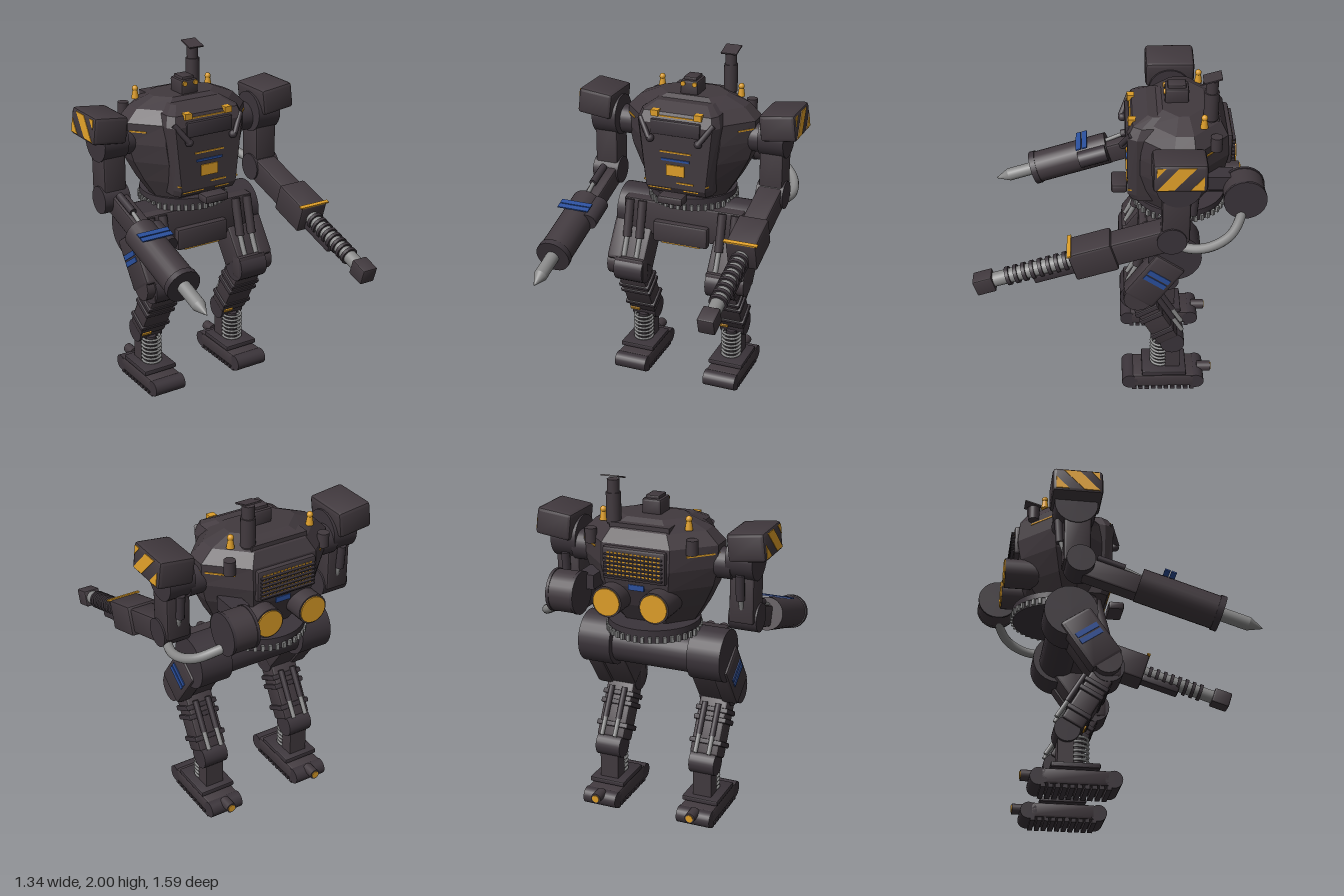
import * as THREE from 'three';
import { toCreasedNormals } from 'three/addons/utils/BufferGeometryUtils.js';
import { RoundedBoxGeometry } from 'three/addons/geometries/RoundedBoxGeometry.js';

const color = (name, hex) => {
  const m = new THREE.MeshStandardMaterial({ color: hex });
  m.name = name;
  return m;
};
const armor = color('dark armour', 0x41393e);
const joint = color('darker joints', 0x3b343a);
const steel = color('grey steel', 0x888888);
const amber = color('amber paint', 0xdc9d28);
const blue = color('blue paint', 0x2a4f9c);

function add(parent, name, geo, mat, x = 0, y = 0, z = 0, rx = 0, ry = 0, rz = 0) {
  const m = new THREE.Mesh(geo, mat);
  m.name = name;
  m.position.set(x, y, z);
  m.rotation.set(rx, ry, rz);
  parent.add(m);
  return m;
}
const box = (w, h, d) => new THREE.BoxGeometry(w, h, d);
const soft = (w, h, d, r = 0.013) => toCreasedNormals(new RoundedBoxGeometry(w, h, d, 1, r), 0.5);
const cyl = (r, h, r2 = r, n = 24) => new THREE.CylinderGeometry(r2, r, h, n);
const cylX = (r, h) => cyl(r, h).rotateZ(Math.PI / 2);
const cylZ = (r, h, r2 = r) => cyl(r, h, r2).rotateX(Math.PI / 2);

// Round bar between two points
function rod(parent, name, a, b, r, mat) {
  const p = new THREE.Vector3(...a), q = new THREE.Vector3(...b), d = q.clone().sub(p);
  const m = add(parent, name, cyl(r, d.length(), r, 12), mat);
  m.position.copy(p).add(q).multiplyScalar(0.5);
  m.quaternion.setFromUnitVectors(new THREE.Vector3(0, 1, 0), d.normalize());
}

// Group whose local y runs from one (y, z) point to another
function limb(parent, name, x, y1, z1, y2, z2) {
  const g = new THREE.Group();
  g.name = name;
  g.position.set(x, (y1 + y2) / 2, (z1 + z2) / 2);
  g.rotation.x = Math.atan2(z1 - z2, y1 - y2);
  parent.add(g);
  return g;
}

// Faceted shell through eight-sided levels [y, half width, front z, back z]
function loft(levels, front, back, kf, kb) {
  const rings = levels.map(([y, w, zf, zb]) => {
    const d = zf - zb;
    const half = [[front * w, zf], [w, zf - kf * d], [w, zb + kb * d], [back * w, zb]];
    return [...half, ...half.slice().reverse().map(([x, z]) => [-x, z])].map(([x, z]) => [x, y, z]);
  });
  const out = [], tri = (...p) => p.forEach((v) => out.push(...v));
  for (let i = 0; i + 1 < rings.length; i++) {
    for (let j = 0; j < 8; j++) {
      const k = (j + 1) % 8, lo = rings[i], hi = rings[i + 1];
      tri(lo[j], lo[k], hi[k]);
      tri(lo[j], hi[k], hi[j]);
    }
  }
  const bottom = rings[0], top = rings[rings.length - 1];
  for (let j = 1; j < 7; j++) {
    tri(top[0], top[j], top[j + 1]);
    tri(bottom[0], bottom[j + 1], bottom[j]);
  }
  const g = new THREE.BufferGeometry();
  g.setAttribute('position', new THREE.Float32BufferAttribute(out, 3));
  g.computeVertexNormals();
  return g;
}

function buildTorso(g) {
  add(g, 'hull', loft([[1.19, 0.23, -0.15, -0.46], [1.3, 0.3, -0.13, -0.53], [1.42, 0.36, -0.12, -0.58],
    [1.53, 0.388, -0.12, -0.6], [1.65, 0.39, -0.13, -0.59], [1.72, 0.32, -0.17, -0.55],
    [1.77, 0.2, -0.24, -0.47]], 0.62, 0.5, 0.35, 0.4), armor);
  add(g, 'cockpit', loft([[1.23, 0.2, -0.08, -0.3], [1.27, 0.205, -0.055, -0.3], [1.65, 0.25, -0.05, -0.3],
    [1.71, 0.23, -0.08, -0.3], [1.75, 0.17, -0.16, -0.3]], 0.88, 1, 0.2, 0.1), armor);
  add(g, 'chinBlock', soft(0.155, 0.05, 0.09), armor, 0, 1.225, -0.01);
  // Painted front panels
  add(g, 'frontBadge', box(0.11, 0.065, 0.008), amber, 0, 1.378, -0.05);
  add(g, 'frontBlueStrip', box(0.17, 0.013, 0.008), blue, 0, 1.44, -0.05);
  add(g, 'frontAmberLine', box(0.19, 0.008, 0.008), amber, 0, 1.487, -0.05);
  for (const [x, y, w] of [[-0.1, 1.256, 0.14], [0.09, 1.256, 0.09], [0.06, 1.305, 0.1]])
    add(g, 'lowerAmberLine', box(w, 0.008, 0.008), amber, x, y, y < 1.3 ? -0.064 : -0.053);
  add(g, 'browLine', box(0.24, 0.007, 0.008), amber, 0, 1.69, -0.068);
  add(g, 'visor', soft(0.3, 0.09, 0.03, 0.01), joint, 0, 1.63, -0.055);
  // Hatch on the roof
  add(g, 'hatch', soft(0.11, 0.09, 0.13), armor, 0, 1.805, -0.32);
  add(g, 'hatchCap', soft(0.08, 0.03, 0.1, 0.008), armor, 0, 1.852, -0.32);
  add(g, 'roofPlate', box(0.34, 0.05, 0.1), armor, 0, 1.725, -0.49);
  for (const s of [-1, 1]) {
    add(g, 'hatchLamp', cylZ(0.014, 0.012), amber, s * 0.035, 1.83, -0.253);
    add(g, 'browClip', box(0.045, 0.035, 0.04), amber, s * 0.13, 1.705, -0.075);
    add(g, 'cornerClip', box(0.03, 0.008, 0.03), amber, s * 0.18, 1.3, -0.07);
    rod(g, 'cheekGun', [s * 0.22, 1.67, -0.07], [s * 0.15, 1.57, -0.02], 0.016, joint);
    add(g, 'cheekGunTip', new THREE.SphereGeometry(0.024, 12, 8), joint, s * 0.145, 1.565, -0.03);
    add(g, 'beacon', cyl(0.022, 0.05, 0.014), amber, s * 0.245, 1.755, -0.455);
    add(g, 'beaconBulb', new THREE.SphereGeometry(0.018, 12, 8), amber, s * 0.245, 1.788, -0.455);
    add(g, 'roofVent', cyl(0.032, 0.08), armor, s * 0.29, 1.66, -0.52);
    add(g, 'sideLine', box(0.007, 0.008, 0.1), amber, s * 0.391, 1.605, -0.34);
    add(g, 'frontSideLine', box(0.1, 0.008, 0.007), amber, s * 0.35, 1.605, -0.245, 0, s * 0.84);
    add(g, 'rearSideLine', box(0.16, 0.008, 0.007), amber, s * 0.32, 1.605, -0.475, 0, s * -0.78);
    add(g, 'shoulderAxle', cylX(0.085, 0.11), joint, s * 0.405, 1.54, -0.34);
    // Rear exhausts
    add(g, 'exhaust', cylZ(0.085, 0.2), armor, s * 0.135, 1.35, -0.565);
    add(g, 'exhaustFace', cylZ(0.076, 0.008), amber, s * 0.135, 1.35, -0.668);
  }
  // Rear grille
  add(g, 'grilleFrame', soft(0.36, 0.18, 0.1), armor, 0, 1.55, -0.568);
  for (let i = 0; i < 6; i++) {
    for (let j = 0; j < 14; j++)
      add(g, 'grilleSlot', box(0.014, 0.009, 0.006), amber, -0.143 + j * 0.022, 1.495 + i * 0.023, -0.618);
    add(g, 'grilleSlat', box(0.33, 0.007, 0.03), joint, 0, 1.486 + i * 0.023, -0.621);
  }
  add(g, 'rearBlueStrip', box(0.09, 0.03, 0.008), blue, 0, 1.42, -0.584);
  // Chimney
  add(g, 'chimneyBase', cyl(0.04, 0.16), armor, 0.165, 1.82, -0.495);
  add(g, 'chimney', cyl(0.033, 0.24), armor, 0.165, 1.85, -0.495);
  add(g, 'chimneyFlap', box(0.095, 0.008, 0.1), armor, 0.165, 1.984, -0.495, 0.28);
  // Fuel drum and hose
  add(g, 'drum', cylX(0.113, 0.15), armor, 0.35, 1.385, -0.675);
  for (const x of [0.28, 0.42]) add(g, 'drumRim', cylX(0.117, 0.016), joint, x, 1.385, -0.675);
  add(g, 'drumBracket', box(0.1, 0.08, 0.16), joint, 0.28, 1.43, -0.54);
  const path = [[0.33, 1.31, -0.67], [0.44, 1.28, -0.65], [0.53, 1.23, -0.59], [0.575, 1.19, -0.48],
    [0.57, 1.18, -0.37], [0.53, 1.2, -0.28]].map((p) => new THREE.Vector3(...p));
  add(g, 'hose', new THREE.TubeGeometry(new THREE.CatmullRomCurve3(path), 32, 0.027, 12), steel);
  // Turning ring
  add(g, 'turntable', cyl(0.255, 0.035, 0.255, 36), joint, 0, 1.177, -0.35);
  add(g, 'gear', cyl(0.25, 0.04, 0.25, 40), joint, 0, 1.14, -0.35);
  for (let i = 0; i < 40; i++) {
    const a = (i / 40) * Math.PI * 2;
    add(g, 'gearTooth', box(0.018, 0.034, 0.022), steel, Math.sin(a) * 0.254, 1.14, -0.35 + Math.cos(a) * 0.254, 0, a);
  }
}

function buildPelvis(g) {
  add(g, 'pelvis', soft(0.74, 0.22, 0.17), armor, 0, 1.01, -0.245);
  add(g, 'hipAxle', cylX(0.11, 0.5), joint, 0, 0.985, -0.31);
  add(g, 'pelvisPlate', soft(0.34, 0.13, 0.05), armor, 0, 0.945, -0.145);
  add(g, 'pelvisLine', box(0.24, 0.007, 0.03), amber, 0, 0.878, -0.145);
}

function buildLeg(g, s) {
  const x = s * 0.29;
  add(g, 'hipJoint', cylX(0.148, 0.19), joint, s * 0.325, 1.0, -0.31);
  const thigh = limb(g, 'thigh', x, 1.0, -0.31, 0.7, -0.1);
  add(thigh, 'thighCore', soft(0.19, 0.32, 0.17), armor);
  add(thigh, 'thighArmour', soft(0.1, 0.32, 0.2, 0.02), armor, s * 0.095, -0.01, 0);
  for (const y of [-0.005, 0.035])
    add(thigh, 'thighStripe', box(0.008, 0.03, 0.14), blue, s * 0.146, y, 0);
  add(g, 'kneeJoint', cylX(0.09, 0.18), joint, x, 0.7, -0.1);
  add(g, 'kneeGuard', soft(0.19, 0.14, 0.08), armor, x, 0.71, -0.07);
  add(g, 'kneeDisc', cylX(0.08, 0.08), armor, s * 0.39, 0.72, -0.11);
  for (const o of [-0.04, 0.04]) {
    rod(g, 'thighPiston', [x + o, 1.11, -0.16], [x + o, 0.89, -0.105], 0.026, armor);
    rod(g, 'thighPistonRod', [x + o, 0.9, -0.11], [x + o, 0.78, -0.055], 0.015, steel);
    rod(g, 'calfPiston', [x + o, 0.66, -0.22], [x + o, 0.5, -0.315], 0.017, joint);
    rod(g, 'calfPistonRod', [x + o, 0.5, -0.315], [x + o, 0.41, -0.37], 0.013, steel);
  }
  // Ribbed shin
  const shin = limb(g, 'shin', x, 0.7, -0.1, 0.33, -0.31);
  add(shin, 'shinCore', soft(0.17, 0.33, 0.13), armor, 0, -0.01, 0);
  for (const y of [0.085, 0.03, -0.1])
    add(shin, 'shinRib', soft(0.195, 0.03, 0.145, 0.008), joint, 0, y, 0);
  add(shin, 'shinMark', box(0.06, 0.02, 0.008), amber, -0.045, -0.155, 0.07);
  add(g, 'ankleJoint', cylX(0.07, 0.15), joint, x, 0.335, -0.315);
  add(g, 'anklePost', box(0.11, 0.22, 0.085), armor, x, 0.225, -0.32);
  add(g, 'springCore', cyl(0.03, 0.18), joint, x, 0.22, -0.25);
  for (let i = 0; i < 7; i++)
    add(g, 'springCoil', new THREE.TorusGeometry(0.055, 0.008, 6, 20), steel, x, 0.15 + i * 0.025, -0.25, Math.PI / 2);
  // Tracked foot
  add(g, 'ankleBase', soft(0.215, 0.03, 0.26, 0.008), joint, x, 0.125, -0.27);
  add(g, 'foot', soft(0.2, 0.085, 0.37), armor, x, 0.062, -0.27);
  for (const z of [-0.07, -0.46]) add(g, 'footRoller', cylX(0.047, 0.2), joint, x, 0.058, z);
  for (let i = 0; i < 10; i++) add(g, 'cleat', box(0.2, 0.02, 0.026), joint, x, 0.01, -0.095 - i * 0.038);
  add(g, 'heelLamp', cylZ(0.03, 0.08), armor, x, 0.09, -0.508);
  add(g, 'heelLampFace', cylZ(0.021, 0.008), amber, x, 0.09, -0.549);
}

function buildShoulder(g, s) {
  const pad = new THREE.Group();
  pad.name = 'shoulderPad';
  pad.position.set(s * 0.555, 1.665, -0.31);
  pad.rotation.z = s * 0.12;
  g.add(pad);
  add(pad, 'padShell', soft(0.21, 0.155, 0.28, 0.02), armor);
  // Hazard stripes on the outer face
  for (const points of [[[-0.12, 0.01], [-0.075, 0.062], [-0.12, 0.062]],
    [[-0.12, -0.062], [-0.035, -0.062], [0.08, 0.062], [-0.01, 0.062]],
    [[0.05, -0.062], [0.12, -0.062], [0.12, 0.015]]]) {
    const shape = new THREE.Shape(points.map((p) => new THREE.Vector2(...p)));
    const geo = new THREE.ExtrudeGeometry(shape, { depth: 0.006, bevelEnabled: false });
    add(pad, 'hazardStripe', geo, amber, s * 0.105 - 0.003, 0, 0, 0, Math.PI / 2);
  }
  const x = s * 0.51;
  add(g, 'shoulderJoint', cylX(0.12, 0.15), joint, x, 1.575, -0.31);
  add(g, 'upperArm', soft(0.14, 0.36, 0.15), armor, x, 1.4, -0.3);
  rod(g, 'armPiston', [x, 1.5, -0.4], [x, 1.36, -0.39], 0.024, joint);
  rod(g, 'armPistonRod', [x, 1.38, -0.39], [x, 1.24, -0.34], 0.014, steel);
  add(g, 'elbowJoint', cylX(0.08, 0.16), joint, x, 1.235, -0.28);
  // Forearm frame, local z runs toward the tool
  const arm = new THREE.Group();
  arm.name = s > 0 ? 'gunForearm' : 'drillForearm';
  arm.position.set(x, 1.235, -0.28);
  arm.rotation.x = 0.303;
  g.add(arm);
  return arm;
}

function buildGun(arm) {
  add(arm, 'forearm', soft(0.14, 0.14, 0.34), armor, 0, 0, 0.16);
  add(arm, 'gunHousing', soft(0.175, 0.17, 0.24), armor, 0, 0, 0.435);
  add(arm, 'sightBar', box(0.195, 0.009, 0.022), amber, 0, 0.087, 0.545);
  add(arm, 'barrelGuard', soft(0.08, 0.05, 0.24, 0.01), joint, 0, -0.045, 0.67);
  add(arm, 'barrel', cylZ(0.04, 0.5), steel, 0, 0, 0.78);
  for (let i = 0; i < 8; i++) add(arm, 'barrelRing', cylZ(0.052, 0.02), joint, 0, 0, 0.59 + i * 0.047);
  add(arm, 'muzzle', soft(0.095, 0.095, 0.11, 0.008), armor, 0, 0, 1.057);
}

function buildDrill(arm) {
  add(arm, 'forearm', soft(0.1, 0.12, 0.38), armor, 0.02, -0.01, 0.18);
  rod(arm, 'forearmPiston', [0, 0.07, 0.08], [0, 0.07, 0.24], 0.022, joint);
  rod(arm, 'forearmPistonRod', [0, 0.07, 0.2], [0, 0.05, 0.36], 0.012, steel);
  add(arm, 'drillBody', cylZ(0.094, 0.46), armor, 0, 0, 0.57);
  add(arm, 'drillCollar', cylZ(0.1, 0.035), joint, 0, 0, 0.8);
  add(arm, 'sideMotor', cylZ(0.05, 0.17), joint, 0.085, 0.02, 0.43);
  for (const z of [0.462, 0.499]) add(arm, 'drillStripe', box(0.19, 0.008, 0.031), blue, 0, 0.096, z);
  add(arm, 'drillBit', cylZ(0.038, 0.17), steel, 0, 0, 0.89);
  add(arm, 'drillPoint', cylZ(0.038, 0.08, 0.002), steel, 0, 0, 1.015);
}

export function createModel() {
  const g = new THREE.Group();
  g.name = 'walkingMachine';
  buildTorso(g);
  buildPelvis(g);
  for (const s of [-1, 1]) {
    buildLeg(g, s);
    const arm = buildShoulder(g, s);
    if (s > 0) buildGun(arm);
    else buildDrill(arm);
  }
  return g;
}
